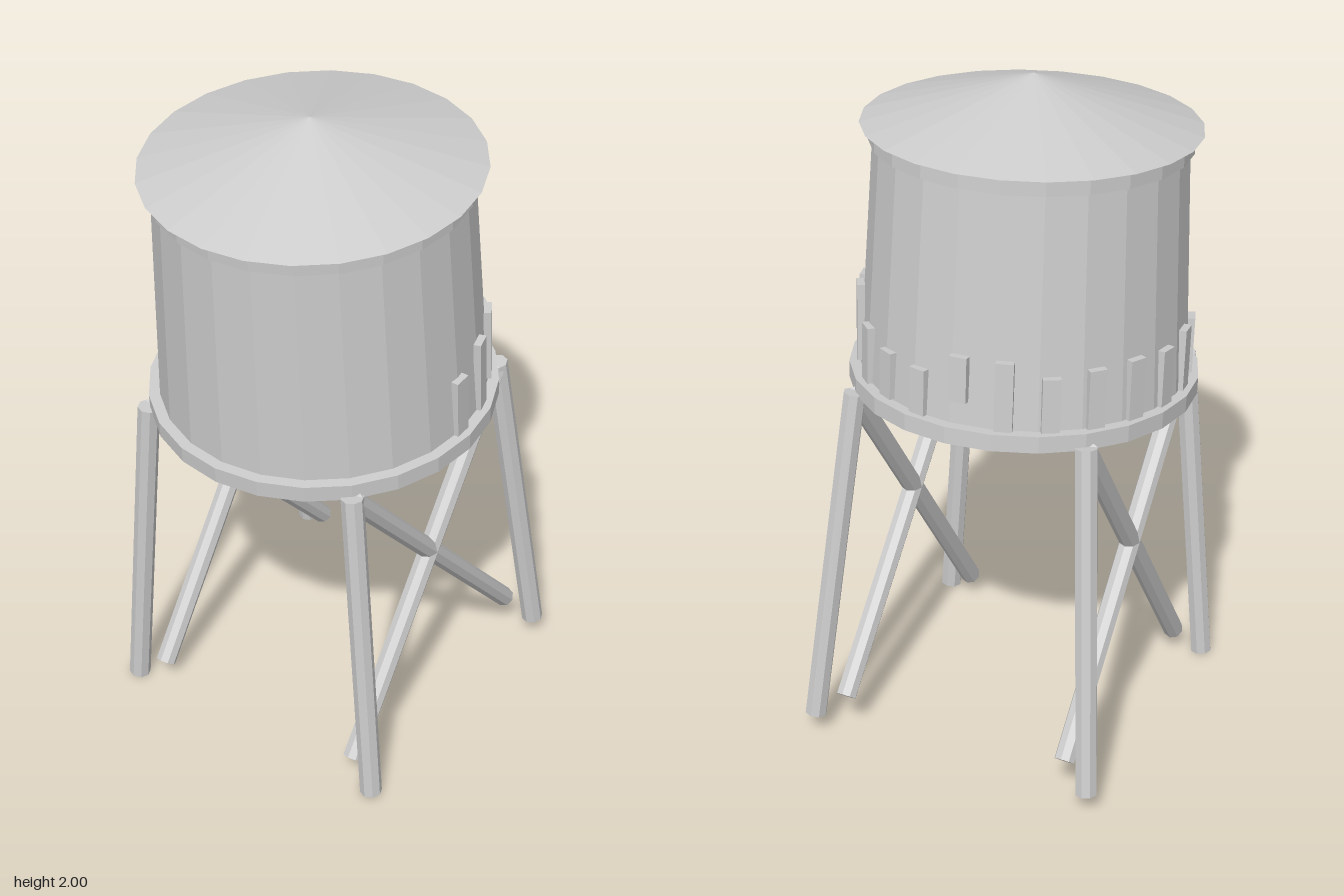
import * as THREE from 'three';

export function createModel() {
  const model = new THREE.Group();
  model.name = 'waterTower';
  const grey = new THREE.MeshStandardMaterial({ color: 0xcccccc, flatShading: true });
  grey.name = 'weathered grey';

  // The whole tower leans about its foot centre
  const tower = new THREE.Group();
  tower.name = 'leaningTower';
  tower.position.set(0.06, 0.035, 0);
  tower.rotation.z = THREE.MathUtils.degToRad(4);
  model.add(tower);

  const add = (name, geometry, parent = tower) => {
    const mesh = new THREE.Mesh(geometry, grey);
    mesh.name = name;
    parent.add(mesh);
    return mesh;
  };

  // Upright 24-sided drum between two heights
  const drum = (name, rTop, rBottom, y0, y1) => {
    const mesh = add(name, new THREE.CylinderGeometry(rTop, rBottom, y1 - y0, 24));
    mesh.position.y = (y0 + y1) / 2;
  };
  drum('baseRim', 0.51, 0.51, 1.05, 1.1);
  drum('tank', 0.445, 0.478, 1.09, 1.8);
  drum('topBand', 0.458, 0.458, 1.776, 1.826);
  drum('roof', 0, 0.483, 1.826, 1.97);

  // Round bar from one point to another
  const up = new THREE.Vector3(0, 1, 0);
  const bar = (name, a, b, radius) => {
    const from = new THREE.Vector3(...a), to = new THREE.Vector3(...b);
    const dir = to.clone().sub(from);
    const mesh = add(name, new THREE.CylinderGeometry(radius, radius, dir.length(), 8));
    mesh.position.copy(from).add(to).multiplyScalar(0.5);
    mesh.quaternion.setFromUnitVectors(up, dir.normalize());
  };

  // Splayed legs, and crossed braces on the front and back
  for (const sz of [1, -1]) {
    const end = sz > 0 ? 'front' : 'back';
    for (const sx of [1, -1]) {
      const side = sx > 0 ? 'Left' : 'Right';
      bar(`${end}${side}Leg`, [sx * 0.45, 0, sz * 0.45], [sx * 0.363, 1.06, sz * 0.363], 0.033);
      bar(`${end}${side}Brace`, [sx * 0.418, 0.065, sz * 0.363], [-sx * 0.363, 1.05, sz * 0.363], 0.031);
    }
  }

  // Uneven planks around one side of the tank: [bottom, height]
  const planks = new THREE.Group();
  planks.name = 'planks';
  tower.add(planks);
  const sizes = [
    [1.1, 0.185], [1.1, 0.23], [1.115, 0.235], [1.1, 0.17], [1.105, 0.14], [1.097, 0.14], [1.17, 0.135],
    [1.097, 0.207], [1.1, 0.16], [1.1, 0.175], [1.1, 0.18], [1.1, 0.17], [1.1, 0.185], [1.1, 0.17],
  ];
  sizes.forEach(([bottom, height], i) => {
    const angle = THREE.MathUtils.degToRad(-90 + i * 15.5);
    const plank = add('plank', new THREE.BoxGeometry(0.022, height, 0.052), planks);
    plank.position.set(Math.cos(angle) * 0.477, bottom + height / 2, -Math.sin(angle) * 0.477);
    plank.rotation.y = angle;
  });

  return model;
}
